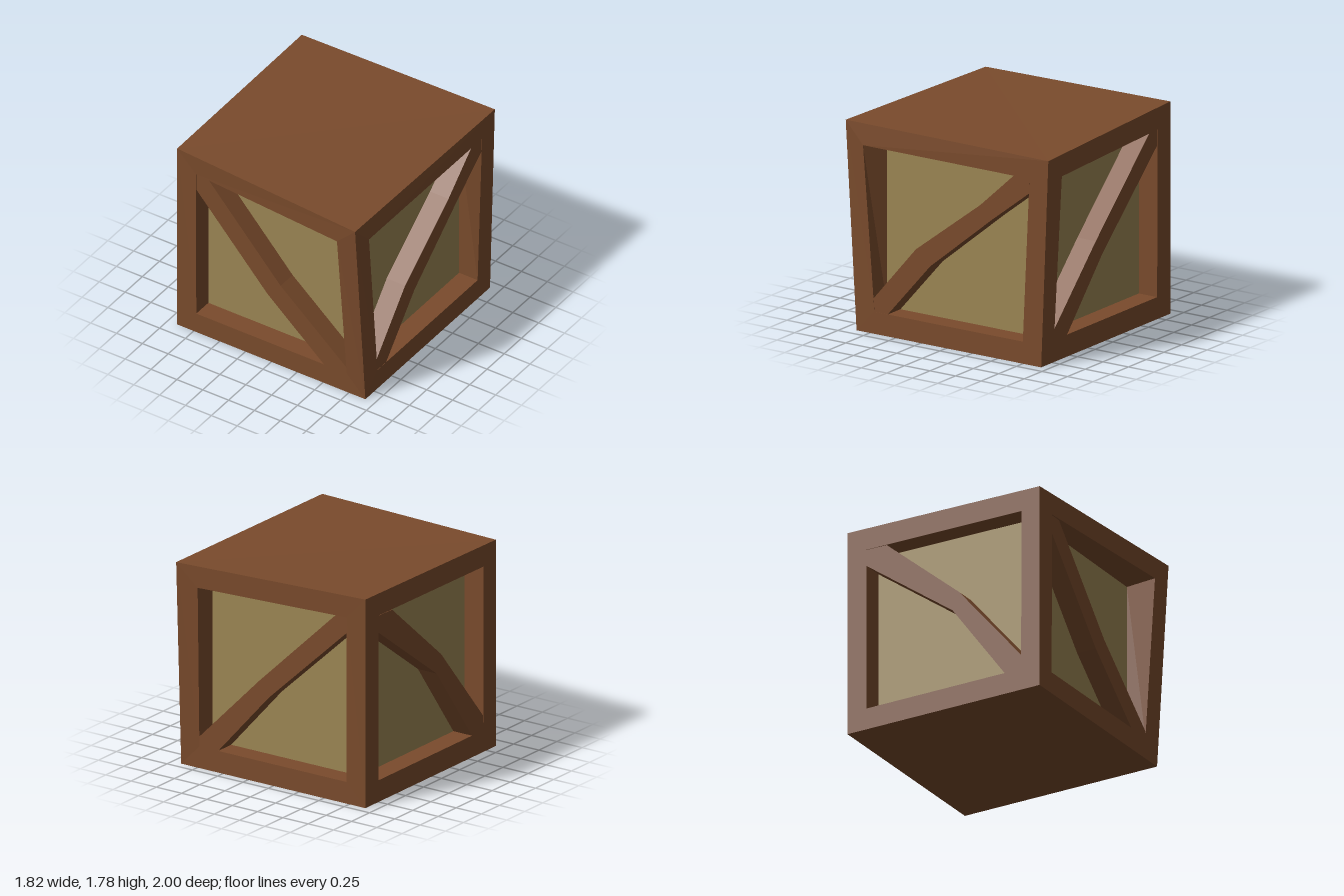
import * as THREE from 'three';

const wood = new THREE.MeshStandardMaterial({ color: 0x7a4b2c });
wood.name = 'brown wood';
const board = new THREE.MeshStandardMaterial({ color: 0x9c8654 });
board.name = 'pale board';

// Slightly warped outer corners, in order: left-front, right-front, right-back, left-back
const bottom = [[-0.91, 0, 0.88], [0.91, 0, 0.88], [0.91, 0, -0.93], [-0.91, 0, -0.93]];
const top = [[-0.91, 1.765, 0.88], [0.89, 1.745, 1.0], [0.91, 1.745, -1.0], [-0.91, 1.785, -0.93]];

// Each side in its own (across, up, outward) coordinates.
// opening: corners bottom-left, bottom-right, top-right, top-left; panel: its outward distance
const sides = [
  {
    name: 'front', panel: 0.705, face: 0.88,
    opening: [[-0.725, 0.185, 0.88], [0.73, 0.185, 0.88], [0.705, 1.565, 0.985], [-0.725, 1.585, 0.885]],
    upper: [[-0.61, 1.58], [0.09, 0.8], [0.73, 0.24]],
    lower: [[0.51, 0.185], [-0.04, 0.67], [-0.725, 1.43]],
    ends: [[-0.725, 1.583], [0.73, 0.185]],
  },
  {
    name: 'right', panel: 0.73, face: 0.908,
    opening: [[-0.705, 0.185, 0.91], [0.75, 0.185, 0.91], [0.815, 1.565, 0.91], [-0.82, 1.565, 0.905]],
    upper: [[0.66, 1.565], [0.33, 1.26], [-0.3, 0.78], [-0.72, 0.29]],
    lower: [[-0.575, 0.185], [-0.16, 0.66], [0.45, 1.16], [0.81, 1.44]],
    ends: [[0.812, 1.565], [-0.715, 0.185]],
  },
  {
    name: 'back', panel: 0.75, face: 0.93,
    opening: [[-0.73, 0.185, 0.93], [0.725, 0.185, 0.93], [0.725, 1.595, 0.935], [-0.705, 1.565, 0.99]],
    upper: [[0.615, 1.59], [-0.14, 0.87], [-0.73, 0.27]],
    lower: [[-0.545, 0.185], [-0.045, 0.745], [0.725, 1.46]],
    ends: [[0.725, 1.593], [-0.73, 0.185]],
  },
  {
    name: 'left', panel: 0.725, face: 0.91,
    opening: [[-0.75, 0.185, 0.91], [0.705, 0.185, 0.91], [0.71, 1.585, 0.91], [-0.75, 1.595, 0.91]],
    upper: [[-0.56, 1.59], [0.12, 1.01], [0.705, 0.31]],
    lower: [[0.55, 0.185], [0.06, 0.86], [-0.75, 1.45]],
    ends: [[-0.75, 1.593], [0.705, 0.185]],
  },
];

// Turn a side's own coordinates into model coordinates
function place(k, [u, v, d]) {
  return [[u, v, d], [d, v, -u], [-u, v, -d], [-d, v, u]][k];
}

// Flat-shaded mesh from counter-clockwise quads
function quadMesh(name, quads, material) {
  const positions = quads.flatMap(([a, b, c, d]) => [a, b, c, a, c, d]).flat();
  const geometry = new THREE.BufferGeometry();
  geometry.setAttribute('position', new THREE.Float32BufferAttribute(positions, 3));
  geometry.computeVertexNormals();
  const mesh = new THREE.Mesh(geometry, material);
  mesh.name = name;
  return mesh;
}

// Bent diagonal plank that fills the recess between panel and frame face
function makeBrace(side, k) {
  const outline = [side.ends[0], ...side.upper, side.ends[1], ...side.lower];
  const shape = new THREE.Shape(outline.map(([u, v]) => new THREE.Vector2(u, v)));
  const geometry = new THREE.ExtrudeGeometry(shape, { depth: side.face - side.panel, bevelEnabled: false });
  geometry.translate(0, 0, side.panel);
  geometry.rotateY(k * Math.PI / 2);
  const mesh = new THREE.Mesh(geometry, wood);
  mesh.name = side.name + 'Brace';
  return mesh;
}

export function createModel() {
  const crate = new THREE.Group();
  crate.name = 'crate';

  sides.forEach((side, k) => {
    const group = new THREE.Group();
    group.name = side.name + 'Side';
    const next = (k + 1) % 4;
    const outer = [bottom[k], bottom[next], top[next], top[k]];
    const opening = side.opening.map((p) => place(k, p));
    const left = side.opening[0][0], right = side.opening[1][0];
    const inner = side.opening.map(([, v], i) =>
      place(k, [i === 0 || i === 3 ? left : right, v, side.panel]));

    // Frame border and the walls of the recess
    const quads = [];
    for (let i = 0; i < 4; i++) {
      const j = (i + 1) % 4;
      quads.push([outer[i], outer[j], opening[j], opening[i]]);
      quads.push([opening[i], opening[j], inner[j], inner[i]]);
    }
    group.add(quadMesh(side.name + 'Frame', quads, wood));
    group.add(quadMesh(side.name + 'Panel', [inner], board));
    group.add(makeBrace(side, k));
    crate.add(group);
  });

  // Plain lid and base
  crate.add(quadMesh('lid', [top], wood));
  crate.add(quadMesh('base', [[...bottom].reverse()], wood));
  return crate;
}
